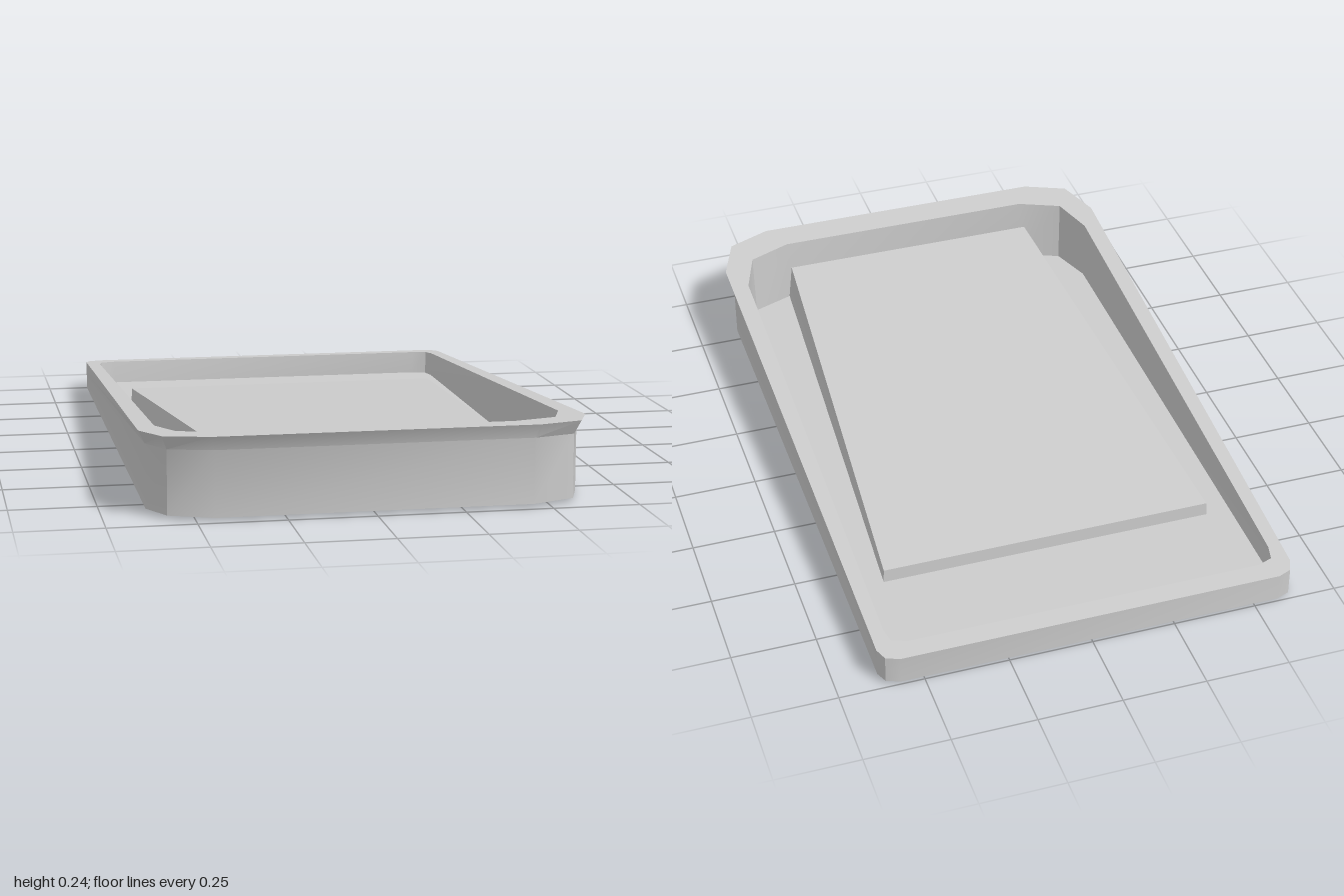
import * as THREE from 'three';
import { toCreasedNormals } from 'three/addons/utils/BufferGeometryUtils.js';

const material = new THREE.MeshStandardMaterial({ color: 0xcccccc });

// Height of the sloping rim at depth z
const slope = (z) => 0.168 + 0.0725 * z;

// Mirror one side (x > 0, listed front to back) into a closed ring; y comes from a rule
function ring(side, height) {
  const mirrored = side.map(([x, z]) => [-x, z]).reverse();
  return [...side, ...mirrored].map(([x, z]) => [x, height(z), z]);
}

// Skin a stack of rings with quads, optionally capping the first (down) and last (up)
function loft(rings, capStart, capEnd) {
  const pos = [];
  const tri = (a, b, c) => pos.push(...a, ...b, ...c);
  const n = rings[0].length;
  for (let r = 0; r < rings.length - 1; r++) {
    const lo = rings[r], hi = rings[r + 1];
    for (let i = 0; i < n; i++) {
      const j = (i + 1) % n;
      tri(lo[i], lo[j], hi[j]);
      tri(lo[i], hi[j], hi[i]);
    }
  }
  const first = rings[0], last = rings[rings.length - 1];
  for (let i = 1; i < n - 1; i++) {
    if (capStart) tri(first[0], first[i + 1], first[i]);
    if (capEnd) tri(last[0], last[i], last[i + 1]);
  }
  const geometry = new THREE.BufferGeometry();
  geometry.setAttribute('position', new THREE.Float32BufferAttribute(pos, 3));
  return toCreasedNormals(geometry, 0.5);
}

function addPart(group, name, geometry) {
  const mesh = new THREE.Mesh(geometry, material);
  mesh.name = name;
  group.add(mesh);
}

export function createModel() {
  const group = new THREE.Group();
  group.name = 'tray';

  // Outlines: wide chamfers at the front, small ones at the back
  const back = [[0.625, -0.95], [0.61, -0.985], [0.57, -1]];
  const body = [[0.62, 0.8], [0.575, 0.93], [0.45, 0.98]];
  const lip = [[0.64, 0.82], [0.59, 0.95], [0.46, 1]];
  const inner = [[0.41, 0.91], [0.54, 0.86], [0.585, 0.73],
    [0.585, -0.88], [0.575, -0.925], [0.53, -0.94]];
  const bodySide = [...body.slice().reverse(), ...back];
  const lipSide = [...lip.slice().reverse(), ...back];
  const floorSide = inner.map(([x, z]) => [x * 0.995, z * 0.995]);

  // Shell: base, waist, flared rim, inner wall and floor
  addPart(group, 'trayShell', loft([
    ring(bodySide, (z) => (z > 0.7 && z < 0.9 ? 0 : 0.01)),
    ring(bodySide, (z) => slope(z) - 0.04),
    ring(lipSide, slope),
    ring(inner, slope),
    ring(floorSide, () => 0.028),
  ], true, true));

  // Tapered wedge panel rising from the floor, parallel to the rim
  addPart(group, 'wedgePanel', loft([
    ring([[0.412, 0.905], [0.507, -0.602]], () => 0.026),
    ring([[0.41, 0.855], [0.505, -0.6]], (z) => slope(z) - 0.055),
  ], false, true));

  return group;
}
